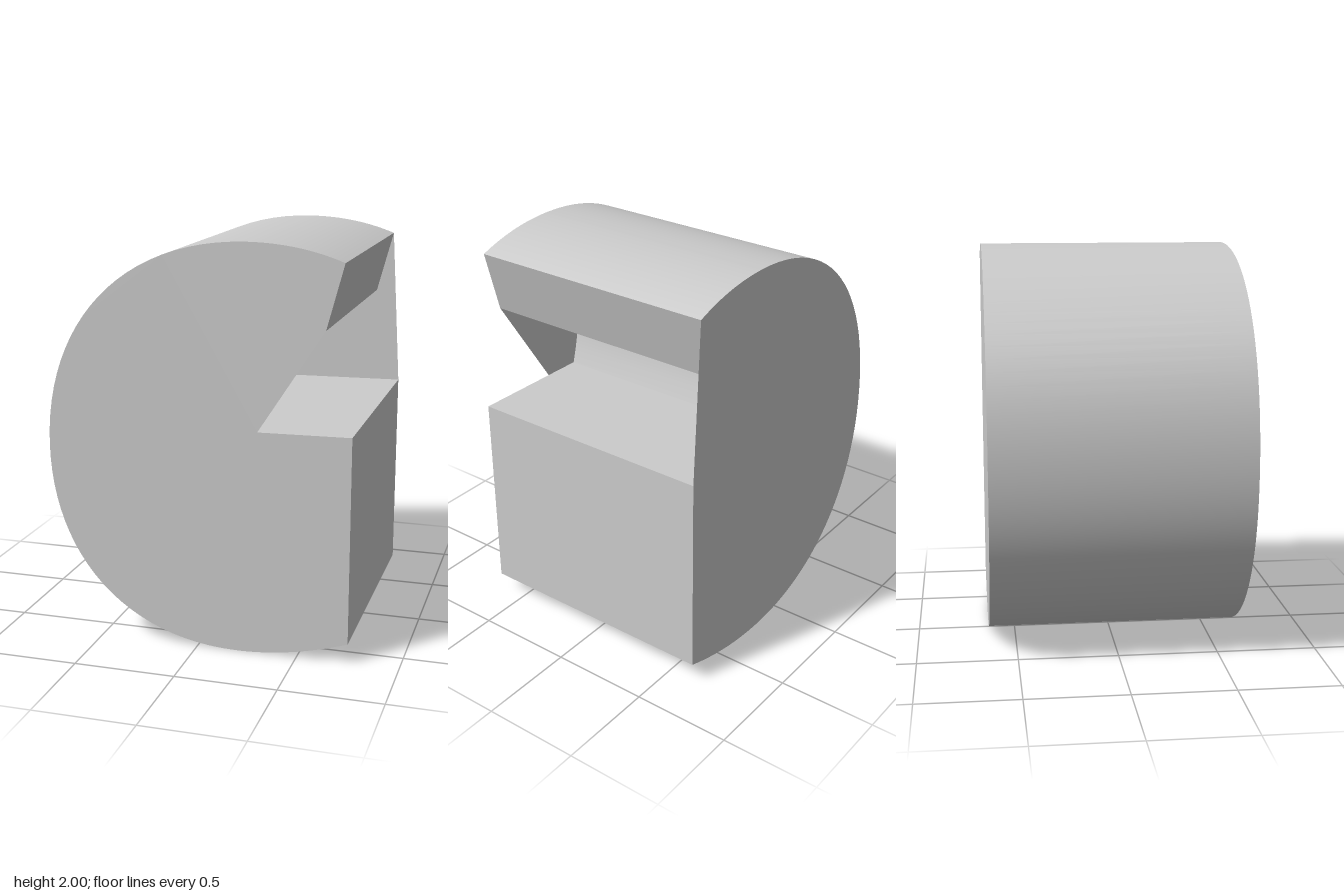
import * as THREE from 'three';

const HALF_DEPTH = 0.637;
const material = new THREE.MeshStandardMaterial({ color: 0xcccccc, side: THREE.DoubleSide });
const v = (x, y) => new THREE.Vector2(x, y);

// Smooth strip swept along z; the solid lies to the left of the path
function strip(name, points) {
  const pos = [], index = [];
  points.forEach((p, i) => {
    pos.push(p.x, p.y, HALF_DEPTH, p.x, p.y, -HALF_DEPTH);
    if (i === 0) return;
    const a = 2 * i - 2;
    index.push(a, a + 1, a + 3, a, a + 3, a + 2);
  });
  const geo = new THREE.BufferGeometry();
  geo.setAttribute('position', new THREE.Float32BufferAttribute(pos, 3));
  geo.setIndex(index);
  geo.computeVertexNormals();
  const mesh = new THREE.Mesh(geo, material);
  mesh.name = name;
  return mesh;
}

// Flat end panel; the back one is turned to face -z
function panel(name, points, isBack) {
  const geo = new THREE.ShapeGeometry(new THREE.Shape(points));
  if (isBack) {
    const idx = geo.index.array;
    for (let i = 0; i < idx.length; i += 3) [idx[i], idx[i + 1]] = [idx[i + 1], idx[i]];
    geo.computeVertexNormals();
  }
  geo.translate(0, 0, isBack ? -HALF_DEPTH : HALF_DEPTH);
  const mesh = new THREE.Mesh(geo, material);
  mesh.name = name;
  return mesh;
}

export function createModel() {
  const group = new THREE.Group();
  group.name = 'notchedDrum';

  const bottom = v(0.752, 0.1), ledge = v(0.752, 1.12);
  const pocketFloor = v(0.1, 1.11), lipLow = v(0.62, 1.61), lipTop = v(0.703, 1.92);

  // Rounded outer shell, from the upper lip over the top and round to the base
  const path = new THREE.Path();
  path.moveTo(lipTop.x, lipTop.y);
  path.bezierCurveTo(0.56, 1.975, 0.41, 2, 0.25, 2);
  path.bezierCurveTo(-0.354, 2, -0.757, 1.592, -0.757, 0.98);
  path.bezierCurveTo(-0.757, 0.392, -0.374, 0, 0.2, 0);
  path.bezierCurveTo(0.4, 0, 0.58, 0.04, bottom.x, bottom.y);
  const shell = path.getPoints(24);

  // Hollow pocket behind the opening
  const pocket = new THREE.CubicBezierCurve(
    pocketFloor, v(-0.1, 1.75), v(0.35, 1.72), lipLow).getPoints(24);

  group.add(
    strip('outerShell', shell),
    strip('flatFront', [bottom, ledge]),
    strip('ledge', [ledge, pocketFloor]),
    strip('pocketWall', pocket),
    strip('upperLip', [lipLow, lipTop]),
    // The near side has a straight-edged notch, the far side closes it
    panel('notchedSide', [...shell, ledge, v(0.3, 1.113), lipLow], false),
    panel('closedSide', [...shell, ledge], true),
  );
  return group;
}
